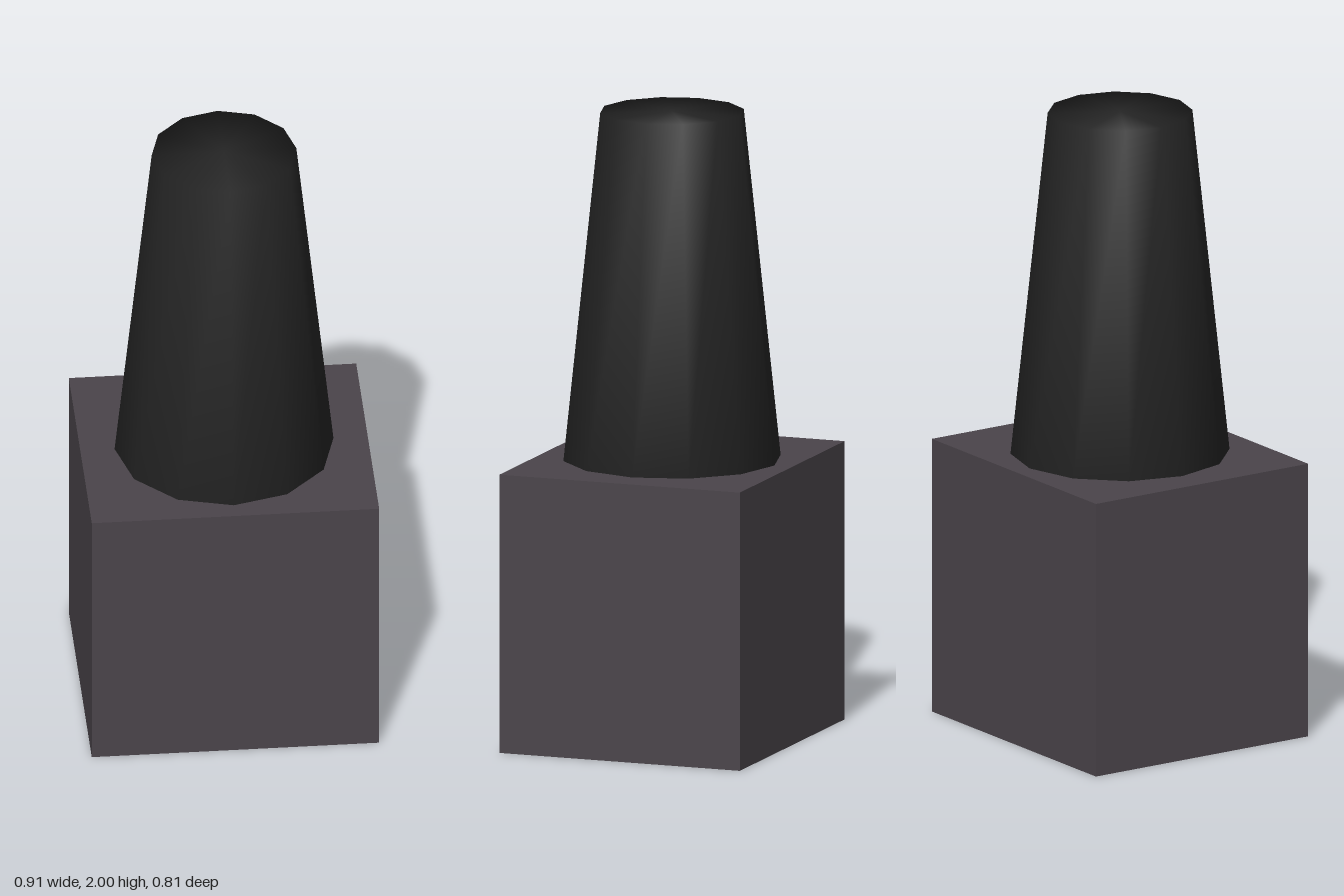
import * as THREE from 'three';
import { mergeVertices } from 'three/addons/utils/BufferGeometryUtils.js';

const BASE_HEIGHT = 0.89;
const TOTAL_HEIGHT = 2;

function material(name, color) {
  const m = new THREE.MeshStandardMaterial({ color });
  m.name = name;
  return m;
}

// Twelve-sided tapered solid whose normals run smoothly over the rims
function smoothTaper(topRadius, bottomRadius, height, sides) {
  const geometry = new THREE.CylinderGeometry(topRadius, bottomRadius, height, sides);
  geometry.deleteAttribute('normal');
  geometry.deleteAttribute('uv');
  geometry.clearGroups();
  const merged = mergeVertices(geometry, 1e-4);
  merged.computeVertexNormals();
  return merged;
}

export function createModel() {
  const group = new THREE.Group();
  group.name = 'bottle';

  // Square bottle body
  const body = new THREE.Mesh(
    new THREE.BoxGeometry(0.906, BASE_HEIGHT, 0.81),
    material('plum grey', 0x4a444a)
  );
  body.name = 'bottleBody';
  body.position.y = BASE_HEIGHT / 2;
  group.add(body);

  // Tall tapered cap
  const capHeight = TOTAL_HEIGHT - BASE_HEIGHT;
  const cap = new THREE.Mesh(
    smoothTaper(0.228, 0.345, capHeight, 12),
    material('soft black', 0x252525)
  );
  cap.name = 'cap';
  cap.position.y = BASE_HEIGHT + capHeight / 2;
  group.add(cap);

  return group;
}
